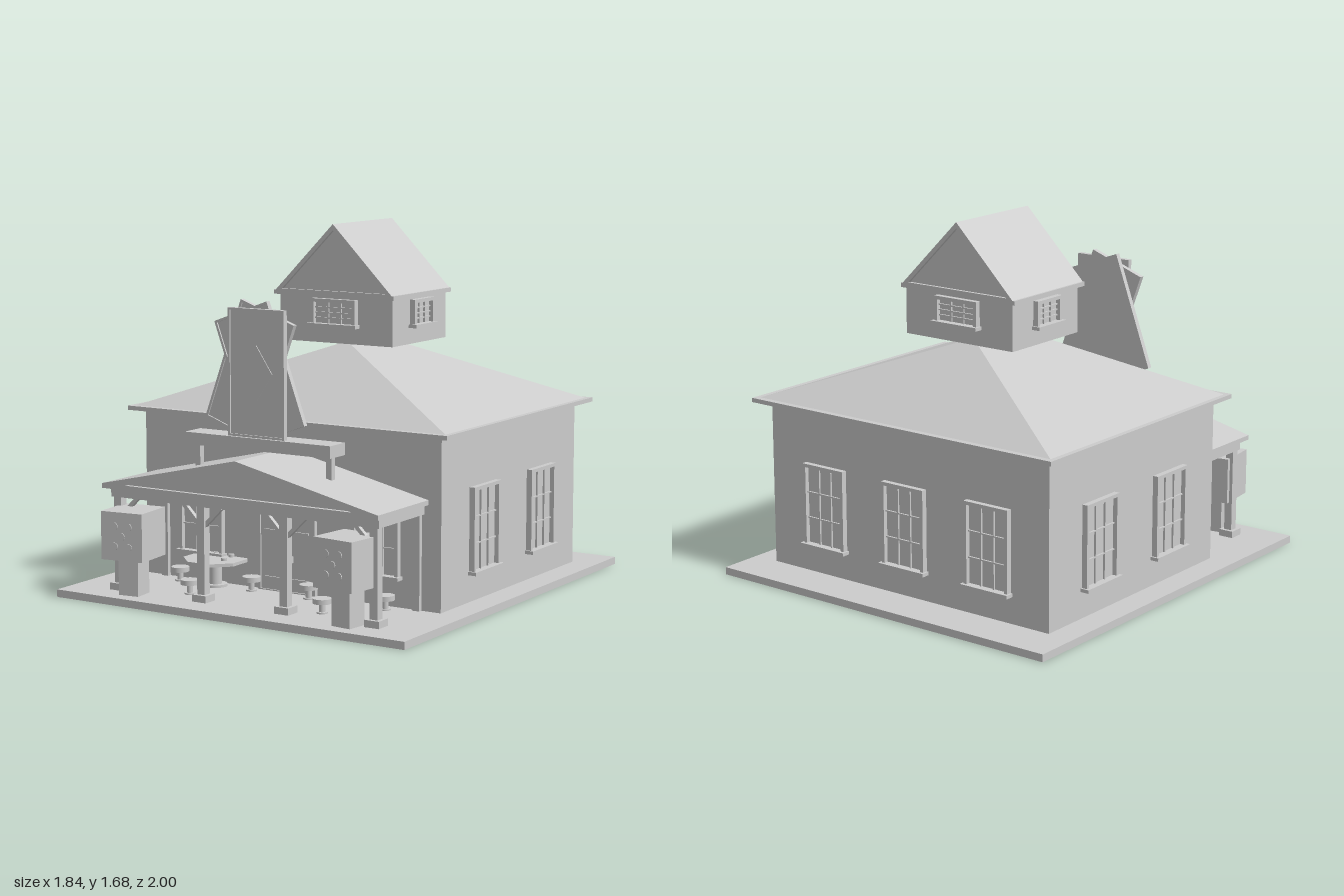
import * as THREE from 'three';

const plainGrey = new THREE.MeshStandardMaterial({ color: 0xcccccc });
plainGrey.name = 'plainGrey';

function add(parent, name, geometry, x = 0, y = 0, z = 0) {
  const mesh = new THREE.Mesh(geometry, plainGrey);
  mesh.name = name;
  mesh.position.set(x, y, z);
  parent.add(mesh);
  return mesh;
}

function addGroup(parent, name, x = 0, y = 0, z = 0, turn = 0) {
  const group = new THREE.Group();
  group.name = name;
  group.position.set(x, y, z);
  group.rotation.y = turn;
  parent.add(group);
  return group;
}

// Box given by its extents
function box(parent, name, x0, x1, y0, y1, z0, z1) {
  return add(parent, name, new THREE.BoxGeometry(x1 - x0, y1 - y0, z1 - z0),
    (x0 + x1) / 2, (y0 + y1) / 2, (z0 + z1) / 2);
}

// Upright disc or column standing on y0
function column(parent, name, r, x, y0, y1, z, sides = 20) {
  let g = new THREE.CylinderGeometry(r, r, y1 - y0, sides);
  if (sides <= 8) {
    g = g.toNonIndexed();
    g.computeVertexNormals();
  }
  return add(parent, name, g, x, (y0 + y1) / 2, z);
}

// Outline, with an optional hole, extruded from z0 to z1
function prism(parent, name, outline, z0, z1, hole) {
  const toPoints = (list) => list.map(([x, y]) => new THREE.Vector2(x, y));
  const shape = new THREE.Shape(toPoints(outline));
  if (hole) shape.holes.push(new THREE.Path(toPoints(hole)));
  return add(parent, name,
    new THREE.ExtrudeGeometry(shape, { depth: z1 - z0, bevelEnabled: false }), 0, 0, z0);
}

const rect = (w, h) => [[-w / 2, -h / 2], [w / 2, -h / 2], [w / 2, h / 2], [-w / 2, h / 2]];

// Framed window facing local +z, its sill bottom at the origin
function addWindow(parent, name, w, h, cols, rows, x, y, z, turn) {
  const g = addGroup(parent, name, x, y, z, turn);
  const b = 0.016;
  const frame = prism(g, 'windowFrame', rect(w, h), -0.01, 0.027, rect(w - 2 * b, h - 2 * b));
  frame.position.y = h / 2;
  box(g, 'windowSill', -w / 2 - 0.01, w / 2 + 0.01, 0, 0.016, -0.01, 0.042);
  box(g, 'windowPane', -w / 2 + b, w / 2 - b, b, h - b, -0.01, 0.005);
  for (let i = 1; i < cols; i++) {
    const mx = -w / 2 + b + (w - 2 * b) * i / cols;
    box(g, 'verticalBar', mx - 0.003, mx + 0.003, b, h - b, 0, 0.014);
  }
  for (let i = 1; i < rows; i++) {
    const my = b + (h - 2 * b) * i / rows;
    box(g, 'crossBar', -w / 2 + b, w / 2 - b, my - 0.003, my + 0.003, 0, 0.014);
  }
}

function hipRoofGeometry() {
  const a = [-0.83, 0.83, 0.51], b = [0.83, 0.83, 0.51];
  const c = [0.83, 0.83, -0.83], d = [-0.83, 0.83, -0.83];
  const front = [0, 1.13, -0.02], back = [0, 1.13, -0.3];
  const faces = [a, b, front, b, c, back, b, back, front, c, d, back, d, a, front, d, front, back];
  const g = new THREE.BufferGeometry();
  g.setAttribute('position', new THREE.Float32BufferAttribute(faces.flat(), 3));
  g.computeVertexNormals();
  return g;
}

function buildHouse(root) {
  const g = addGroup(root, 'house');
  box(g, 'walls', -0.795, 0.795, 0.035, 0.815, -0.79, 0.48);
  box(g, 'eaves', -0.855, 0.855, 0.81, 0.83, -0.86, 0.54);
  add(g, 'hipRoof', hipRoofGeometry());
  for (const s of [-1, 1]) {
    for (const z of [0.11, -0.43]) {
      addWindow(g, 'sideWindow', 0.24, 0.395, 3, 3, s * 0.795, 0.16, z, s * Math.PI / 2);
    }
    addWindow(g, 'frontWindow', 0.24, 0.395, 3, 3, s * 0.47, 0.16, 0.48, 0);
    // Double door leaf with handle
    box(g, 'doorLeaf', Math.min(s * 0.002, s * 0.14), Math.max(s * 0.002, s * 0.14), 0.04, 0.45, 0.47, 0.492);
    box(g, 'doorHandle', s * 0.03 - 0.005, s * 0.03 + 0.005, 0.175, 0.205, 0.49, 0.505);
  }
  prism(g, 'doorFrame', [[-0.155, 0.035], [0.155, 0.035], [0.155, 0.465], [-0.155, 0.465]], 0.47, 0.5,
    [[-0.14, 0.04], [0.14, 0.04], [0.14, 0.45], [-0.14, 0.45]]);
  box(g, 'doorRail', -0.12, 0.12, 0.31, 0.318, 0.49, 0.5);
  box(g, 'doorKickPlate', -0.12, 0.12, 0.085, 0.1, 0.49, 0.5);
  for (const x of [-0.47, 0, 0.47]) {
    addWindow(g, 'backWindow', 0.24, 0.395, 3, 3, x, 0.16, -0.79, Math.PI);
  }
}

function buildCupola(root) {
  const g = addGroup(root, 'cupola');
  box(g, 'cupolaWalls', -0.305, 0.305, 1.13, 1.35, -0.405, 0.08);
  box(g, 'cupolaEaves', -0.325, 0.325, 1.345, 1.365, -0.42, 0.105);
  const gable = [[-0.32, 1.36], [0.32, 1.36], [0, 1.68]];
  prism(g, 'cupolaRoof', gable, -0.405, 0.09);
  const inner = [[-0.28, 1.372], [0.28, 1.372], [0, 1.652]];
  for (const z of [-0.42, 0.09]) prism(g, 'gableTrim', gable, z, z + 0.015, inner);
  for (const s of [-1, 1]) {
    addWindow(g, 'sideVent', 0.18, 0.13, 3, 4, s * 0.305, 1.205, -0.165, s * Math.PI / 2);
  }
  addWindow(g, 'frontVent', 0.24, 0.13, 3, 4, 0, 1.205, 0.08, 0);
  addWindow(g, 'backVent', 0.24, 0.13, 3, 4, 0, 1.205, -0.405, Math.PI);
}

function buildPorch(root) {
  const g = addGroup(root, 'porch');
  const outline = [[-0.73, 0.508], [0.73, 0.508], [0.73, 0.53], [0, 0.695], [-0.73, 0.53]];
  prism(g, 'porchRoof', outline, 0.47, 0.88);
  prism(g, 'pedimentTrim', outline, 0.88, 0.9, [[-0.6, 0.53], [0.6, 0.53], [0, 0.672]]);
  box(g, 'frontBeam', -0.71, 0.71, 0.465, 0.51, 0.81, 0.86);
  for (const s of [-1, 1]) {
    box(g, 'sideBeam', s * 0.69 - 0.02, s * 0.69 + 0.02, 0.465, 0.51, 0.48, 0.82);
    box(g, 'wallPost', s * 0.68 - 0.018, s * 0.68 + 0.018, 0.035, 0.47, 0.478, 0.5);
  }
  for (const x of [-0.68, -0.22, 0.22, 0.68]) {
    box(g, 'porchPost', x - 0.02, x + 0.02, 0.035, 0.47, 0.813, 0.853);
    box(g, 'postBase', x - 0.037, x + 0.037, 0.035, 0.067, 0.796, 0.87);
    for (const s of [-1, 1]) {
      if (Math.abs(x + s * 0.1) > 0.7) continue;
      const brace = add(g, 'postBrace', new THREE.BoxGeometry(0.018, 0.13, 0.02), x + s * 0.055, 0.42, 0.833);
      brace.rotation.z = -s * Math.PI / 4;
    }
  }
}

// Three fanned cards standing on a beam above the porch
function buildSign(root) {
  const g = addGroup(root, 'cardSign');
  box(g, 'signBeam', -0.387, 0.387, 0.717, 0.772, 0.615, 0.735);
  for (const x of [-0.35, 0.35]) box(g, 'signLeg', x - 0.014, x + 0.014, 0.55, 0.72, 0.66, 0.688);
  const cards = [[-0.07, 0.66, -0.35], [0, 0.685, 0.35], [0, 0.71, 0]];
  for (const [x, z, tilt] of cards) {
    const card = addGroup(g, 'card', x, 1.06, z);
    card.rotation.z = tilt;
    prism(card, 'cardBoard', rect(0.275, 0.55), 0, 0.018);
    prism(card, 'cardRim', rect(0.297, 0.57), 0, 0.025, rect(0.275, 0.55));
    if (tilt === 0) {
      prism(card, 'diamond', [[0, -0.125], [0.085, 0], [0, 0.125], [-0.085, 0]], 0.018, 0.022);
    }
  }
}

// Large five-spot die on a pedestal
function buildDie(root, s) {
  const g = addGroup(root, 'dieStand', s * 0.57, 0, 0.882, -s * 0.12);
  box(g, 'pedestal', -0.05, 0.05, 0.035, 0.21, -0.05, 0.05);
  box(g, 'die', -0.105, 0.105, 0.205, 0.425, -0.105, 0.105);
  for (const [x, y] of [[0, 0], [-1, -1], [1, -1], [-1, 1], [1, 1]]) {
    const spot = add(g, 'spot', new THREE.CylinderGeometry(0.017, 0.017, 0.006, 20),
      x * 0.036, 0.315 + y * 0.046, 0.106);
    spot.rotation.x = Math.PI / 2;
  }
}

function buildTable(root, s) {
  const g = addGroup(root, 'tableSet', s * 0.355, 0, 0.55);
  column(g, 'tableTop', 0.15, 0, 0.15, 0.165, 0, 8).rotation.y = Math.PI / 8;
  column(g, 'tableLeg', 0.03, 0, 0.035, 0.15, 0);
  column(g, 'tableFoot', 0.055, 0, 0.035, 0.047, 0);
  for (let i = 0; i < 5; i++) {
    const a = i * 1.257 + 0.4;
    column(g, 'chip', 0.014, 0.075 * Math.cos(a), 0.165, 0.178, 0.075 * Math.sin(a), 12);
  }
  for (const [x, z] of [[0.2, 0], [-0.2, 0], [0, 0.2]]) {
    column(g, 'stoolSeat', 0.042, x, 0.08, 0.102, z);
    column(g, 'stoolLeg', 0.014, x, 0.035, 0.08, z, 12);
    column(g, 'stoolFoot', 0.025, x, 0.035, 0.042, z, 12);
  }
}

export function createModel() {
  const root = new THREE.Group();
  root.name = 'cardHouse';
  box(root, 'groundSlab', -0.92, 0.92, 0, 0.035, -1, 1);
  buildHouse(root);
  buildCupola(root);
  buildPorch(root);
  buildSign(root);
  for (const s of [-1, 1]) {
    buildDie(root, s);
    buildTable(root, s);
  }
  return root;
}
